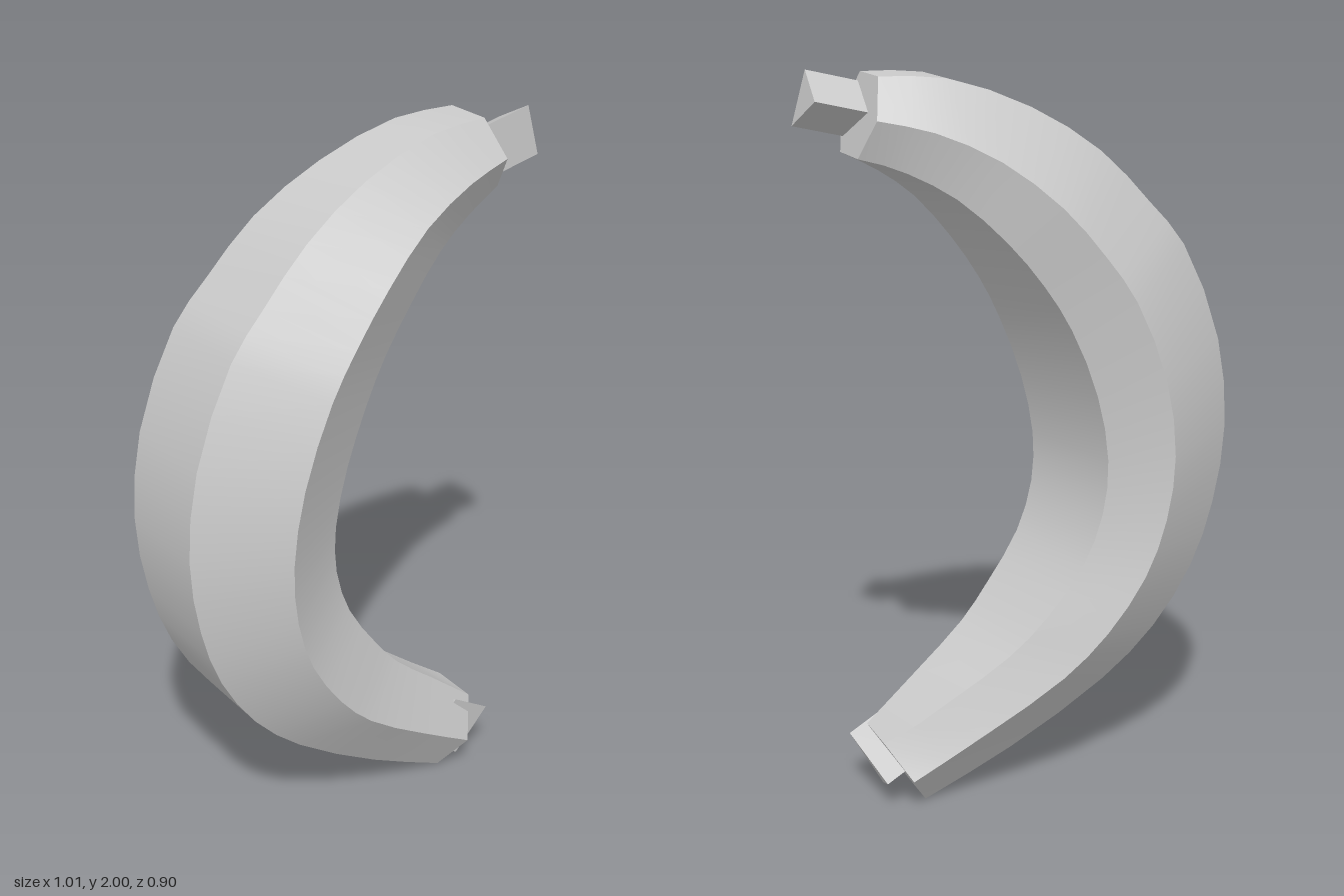
import * as THREE from 'three';
import { ConvexGeometry } from 'three/addons/geometries/ConvexGeometry.js';

// The fruit bends in a vertical plane: u runs along the bend, s across it
const BEND = new THREE.Vector3(0.757, 0, -0.654);
const SIDE = new THREE.Vector3(0.654, 0, 0.757);
const place = (u, y, s) =>
  new THREE.Vector3(0, y, 0).addScaledVector(BEND, u).addScaledVector(SIDE, s);

// Cross-sections from bottom to top: outer (u, y), inner (u, y), half width
const SECTIONS = [
  [0.338, 0, 0.46, 0.195, 0.145],
  [0.09, 0.12, 0.30, 0.325, 0.182],
  [-0.183, 0.29, 0.16, 0.44, 0.225],
  [-0.333, 0.43, 0.075, 0.54, 0.25],
  [-0.443, 0.6, -0.02, 0.68, 0.268],
  [-0.504, 0.78, -0.067, 0.82, 0.28],
  [-0.533, 1.0, -0.073, 0.96, 0.29],
  [-0.504, 1.25, -0.038, 1.13, 0.294],
  [-0.394, 1.52, 0.027, 1.3, 0.287],
  [-0.293, 1.64, 0.09, 1.42, 0.273],
  [-0.156, 1.78, 0.175, 1.54, 0.252],
  [0.033, 1.9, 0.285, 1.66, 0.21],
  [0.258, 1.98, 0.39, 1.735, 0.173],
  [0.432, 1.99, 0.495, 1.79, 0.14],
];
const STEPS = 2 * (SECTIONS.length - 1);
const outerCurve = new THREE.CatmullRomCurve3(
  SECTIONS.map(([u, y, , , w]) => new THREE.Vector3(u, y, w)));
const innerCurve = new THREE.CatmullRomCurve3(
  SECTIONS.map(([, , u, y]) => new THREE.Vector3(u, y, 0)));

// Six-sided ring; one inner ridge bulges sideways between the ends
function ring(f) {
  const outer = outerCurve.getPoint(f), inner = innerCurve.getPoint(f);
  const bulge = Math.sqrt(Math.max(0, Math.sin(Math.PI * f)));
  return Array.from({ length: 6 }, (_, k) => {
    const a = (k * 60 + 30) * Math.PI / 180;
    let t = 0.5 + Math.cos(a) / Math.cos(Math.PI / 6) / 2;
    let s = Math.sin(a) * outer.z - 0.026 + 0.014 * t;
    if (k === 3) {
      t += 0.15 * bulge;
      s -= 0.06 * bulge;
    }
    return place(THREE.MathUtils.lerp(inner.x, outer.x, t),
      THREE.MathUtils.lerp(inner.y, outer.y, t), s);
  });
}

// Each side is its own strip: smooth lengthwise, sharp at the ridges
function bodyGeometry() {
  const rings = Array.from({ length: STEPS + 1 }, (_, j) => ring(j / STEPS));
  const points = [], index = [];
  for (let k = 0; k < 6; k++) {
    const start = points.length;
    rings.forEach(r => points.push(r[k], r[(k + 1) % 6]));
    for (let j = 0; j < STEPS; j++) {
      const a = start + 2 * j;
      index.push(a, a + 1, a + 3, a, a + 3, a + 2);
    }
  }
  // End caps
  for (const cap of [rings[0].slice().reverse(), rings[STEPS]]) {
    const start = points.length;
    points.push(...cap);
    for (let k = 1; k < 5; k++) index.push(start, start + k, start + k + 1);
  }
  const geometry = new THREE.BufferGeometry().setFromPoints(points);
  geometry.setIndex(index);
  geometry.computeVertexNormals();
  return geometry;
}

// Triangular prism from its exposed end face and the vector back into the body
function prism(end, back) {
  const inward = new THREE.Vector3(...back);
  const face = end.map(p => new THREE.Vector3(...p));
  return new ConvexGeometry([...face, ...face.map(p => p.clone().add(inward))]);
}

export function createModel() {
  const group = new THREE.Group();
  group.name = 'banana';
  const material = new THREE.MeshStandardMaterial({ color: 0xcccccc });
  const add = (name, geometry) => {
    const mesh = new THREE.Mesh(geometry, material);
    mesh.name = name;
    group.add(mesh);
  };

  add('fruitBody', bodyGeometry());
  add('stem', prism(
    [[0.40, 1.935, -0.45], [0.475, 2.0, -0.335], [0.505, 1.86, -0.36]],
    [-0.115, -0.036, 0.098]));
  add('blossomTip', prism(
    [[0.432, 0.157, -0.265], [0.347, 0.005, -0.235], [0.272, 0.08, -0.385]],
    [-0.088, 0.068, 0.076]));
  return group;
}
